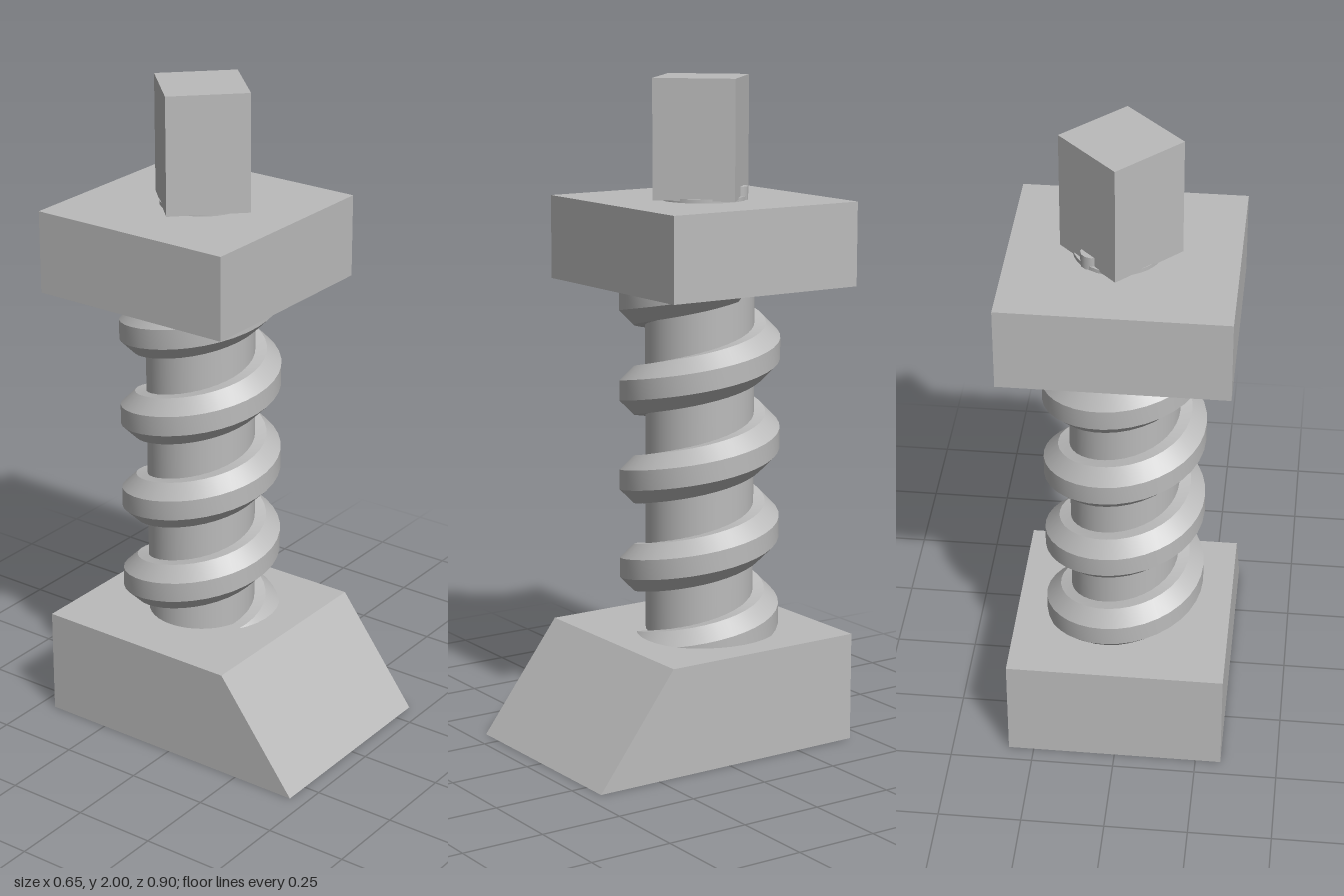
import * as THREE from 'three';
import { toCreasedNormals } from 'three/addons/utils/BufferGeometryUtils.js';

const AXIS_Z = -0.116;

// Octagonal section swept up a helix, closed by flat caps
function coilGeometry({ radius, tube, pitch, y0, from, to, perTurn = 36, sides = 8 }) {
  const pos = [], idx = [];
  const steps = Math.round(((to - from) / (Math.PI * 2)) * perTurn);
  const centre = (a) => [radius * Math.cos(a), y0 + (pitch * a) / (Math.PI * 2), -radius * Math.sin(a)];
  for (let i = 0; i <= steps; i++) {
    const a = from + ((to - from) * i) / steps;
    const [, cy] = centre(a);
    for (let j = 0; j < sides; j++) {
      const b = ((j + 0.5) / sides) * Math.PI * 2;
      const r = radius + tube * Math.cos(b);
      pos.push(r * Math.cos(a), cy + tube * Math.sin(b), -r * Math.sin(a));
    }
  }
  for (let i = 0; i < steps; i++) {
    for (let j = 0; j < sides; j++) {
      const k = (j + 1) % sides;
      const p = i * sides + j, q = i * sides + k;
      const r = p + sides, s = q + sides;
      idx.push(p, r, q, q, r, s);
    }
  }
  const last = steps * sides;
  for (let j = 1; j < sides - 1; j++) {
    idx.push(0, j, j + 1);
    idx.push(last, last + j + 1, last + j);
  }
  const g = new THREE.BufferGeometry();
  g.setAttribute('position', new THREE.Float32BufferAttribute(pos, 3));
  g.setIndex(idx);
  return toCreasedNormals(g, 0.5);
}

export function createModel() {
  const group = new THREE.Group();
  const steel = new THREE.MeshStandardMaterial({ color: 0xbbbbbb });
  steel.name = 'grey steel';

  const add = (name, geometry, x = 0, y = 0, z = 0) => {
    const mesh = new THREE.Mesh(geometry, steel);
    mesh.name = name;
    mesh.position.set(x, y, z);
    group.add(mesh);
    return mesh;
  };

  // Wedge-fronted base: side outline extruded across the width
  const outline = new THREE.Shape([
    new THREE.Vector2(-0.45, 0),
    new THREE.Vector2(0.45, 0),
    new THREE.Vector2(0.45, 0.33),
    new THREE.Vector2(-0.2, 0.33),
  ]);
  const base = new THREE.ExtrudeGeometry(outline, { depth: 0.654, bevelEnabled: false });
  base.translate(0, 0, -0.327);
  base.rotateY(Math.PI / 2);
  add('base', base);

  // Round shaft with its spiral thread
  add('shaft', new THREE.CylinderGeometry(0.163, 0.163, 1.1, 40), 0, 0.86, AXIS_Z);
  add('thread', coilGeometry({
    radius: 0.167, tube: 0.08, pitch: 0.273, y0: 0.338,
    from: -Math.PI, to: Math.PI * 8,
  }), 0, 0, AXIS_Z);

  // Upper block
  add('upperBlock', new THREE.BoxGeometry(0.654, 0.25, 0.65), 0, 1.515, -0.125);

  // Square drive post on a low collar, with a small nub at the back corner
  add('collar', new THREE.CylinderGeometry(0.128, 0.128, 0.03, 32), 0.017, 1.637, AXIS_Z);
  add('collarNub', new THREE.CylinderGeometry(0.034, 0.034, 0.05, 12), 0.082, 1.655, -0.19);
  const post = add('drivePost', new THREE.BoxGeometry(0.244, 0.354, 0.244), 0.009, 1.823, -0.113);
  post.rotation.y = Math.PI / 4;

  return group;
}
